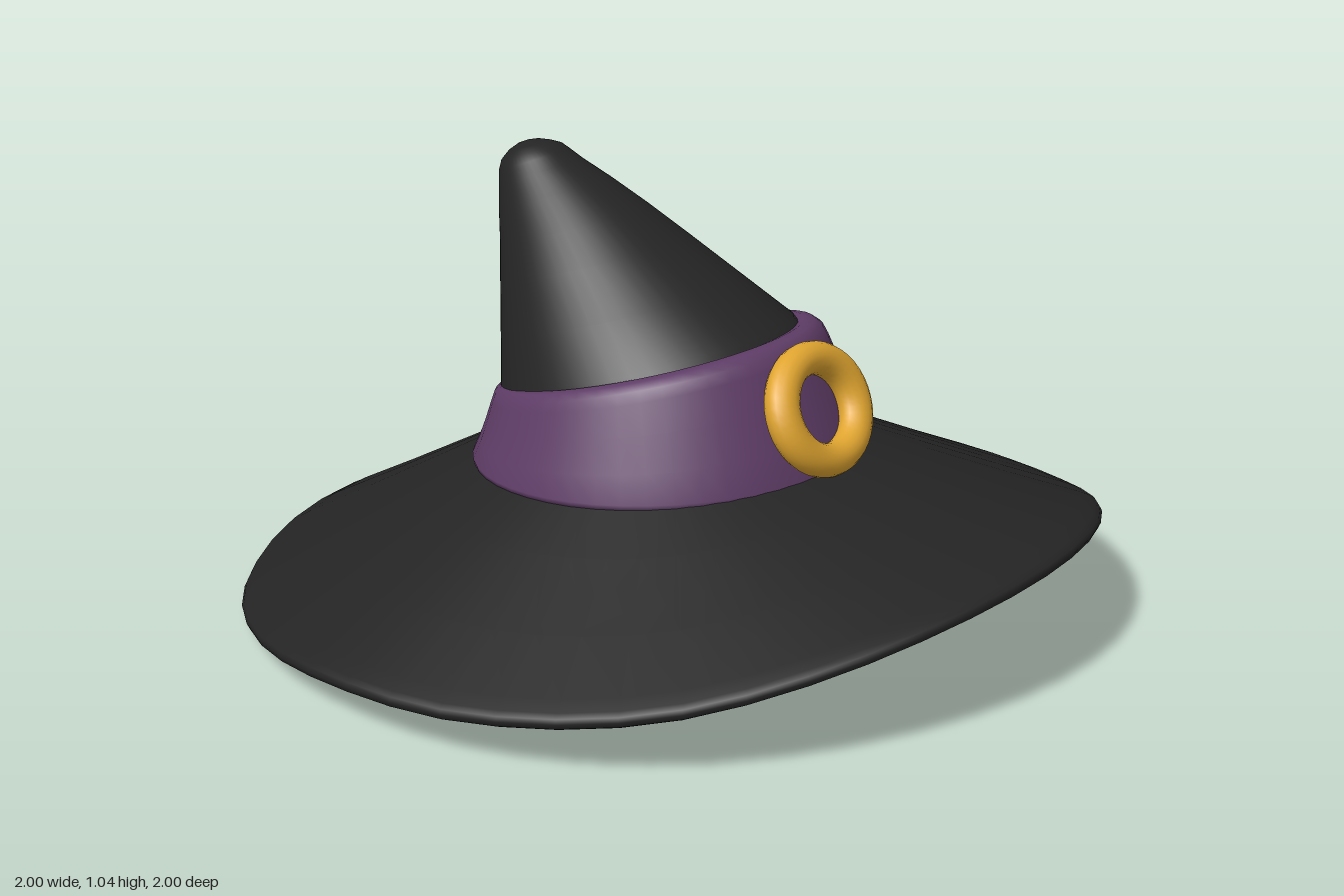
import * as THREE from 'three';

const SIDES = 48;

// Skin a list of ring functions (angle -> [x, y, z]); angle 0 faces the front.
function loft(name, rings, material) {
  const pos = [], idx = [];
  rings.forEach((ring, i) => {
    for (let j = 0; j < SIDES; j++) {
      pos.push(...ring((j / SIDES) * Math.PI * 2));
      if (i === rings.length - 1) continue;
      const a = i * SIDES + j, b = i * SIDES + (j + 1) % SIDES;
      idx.push(a, b, a + SIDES, b, b + SIDES, a + SIDES);
    }
  });
  const geo = new THREE.BufferGeometry();
  geo.setAttribute('position', new THREE.Float32BufferAttribute(pos, 3));
  geo.setIndex(idx);
  geo.computeVertexNormals();
  const mesh = new THREE.Mesh(geo, material);
  mesh.name = name;
  return mesh;
}

// Circle of radius r around (0, y, z), rising towards the front by slope
const tilted = ([r, y, z, slope]) => (a) =>
  [r * Math.sin(a), y + slope * r * Math.cos(a), z + r * Math.cos(a)];

export function createModel() {
  const make = (name, color) => {
    const m = new THREE.MeshStandardMaterial({ color });
    m.name = name;
    return m;
  };
  const felt = make('blackFelt', 0x242424);
  const purple = make('purpleBand', 0x5e3c66);
  const gold = make('gold', 0xe0a530);
  const hat = new THREE.Group();
  hat.name = 'hat';

  // Wavy brim: height of the rim's lower edge from back (-1) to front (1)
  const rim = new THREE.CubicInterpolant(
    new Float32Array([-1, -0.87, -0.6, -0.2, 0.2, 0.6, 0.8, 1]),
    new Float32Array([0.015, 0, 0.025, 0.07, 0.09, 0.14, 0.2, 0.28]), 1);
  const brimRing = ([r, lift, t]) => (a) => {
    const c = Math.cos(a);
    const inner = 0.402 + 0.026 * c;      // height at radius 0.39
    const outer = rim.evaluate(c)[0];
    return [r * Math.sin(a), inner + (outer - inner) * t + lift, r * c];
  };
  const at = (t) => 0.39 + 0.595 * t;
  hat.add(loft('brim', [
    [at(0), -0.03, 0], [at(0.33), -0.02, 0.33], [at(0.67), -0.01, 0.67],
    [at(0.96), 0, 0.96], [0.98, 0, 1], [0.995, 0.008, 1], [1, 0.02, 1],
    [0.995, 0.03, 1], [0.98, 0.037, 1], [at(0.94), 0.034, 0.94],
    [at(0.67), 0.022, 0.67], [at(0.33), 0.01, 0.33], [at(0), 0, 0],
  ].map(brimRing), felt));

  // Lining closing the opening under the brim
  hat.add(loft('lining', [[0, 0.372, 0, 0], [0.392, 0.372, 0, 0.066]].map(tilted), purple));

  // Band with a rounded shoulder, taller at the front
  hat.add(loft('band', [
    [0.44, 0.365, 0, 0.065], [0.454, 0.37, 0, 0.065], [0.457, 0.382, 0, 0.07],
    [0.436, 0.435, -0.006, 0.12], [0.41, 0.5, -0.018, 0.19],
    [0.388, 0.556, -0.029, 0.25], [0.378, 0.578, -0.033, 0.265],
    [0.362, 0.591, -0.038, 0.276], [0.345, 0.593, -0.045, 0.28],
    [0.325, 0.585, -0.05, 0.28],
  ].map(tilted), purple));

  // Crown leaning backwards to a blunt tip
  hat.add(loft('crown', [
    [0.352, 0.56, -0.05, 0.28], [0.338, 0.595, -0.065, 0.29],
    [0.279, 0.69, -0.139, 0.295], [0.2175, 0.79, -0.217, 0.3],
    [0.172, 0.858, -0.274, 0.34], [0.13, 0.92, -0.33, 0.38],
    [0.098, 0.967, -0.37, 0.38], [0.083, 0.992, -0.388, 0.375],
    [0.07, 1.01, -0.397, 0.36], [0.048, 1.024, -0.402, 0.31],
    [0.024, 1.033, -0.405, 0.29], [0, 1.036, -0.406, 0],
  ].map(tilted), felt));

  // Oval ring buckle resting against the sloped band
  const buckle = new THREE.Mesh(new THREE.TorusGeometry(0.115, 0.038, 16, 40), gold);
  buckle.name = 'buckle';
  buckle.scale.x = 1.15;
  buckle.rotation.x = -0.42;
  buckle.position.set(-0.01, 0.549, 0.417);
  hat.add(buckle);

  return hat;
}
